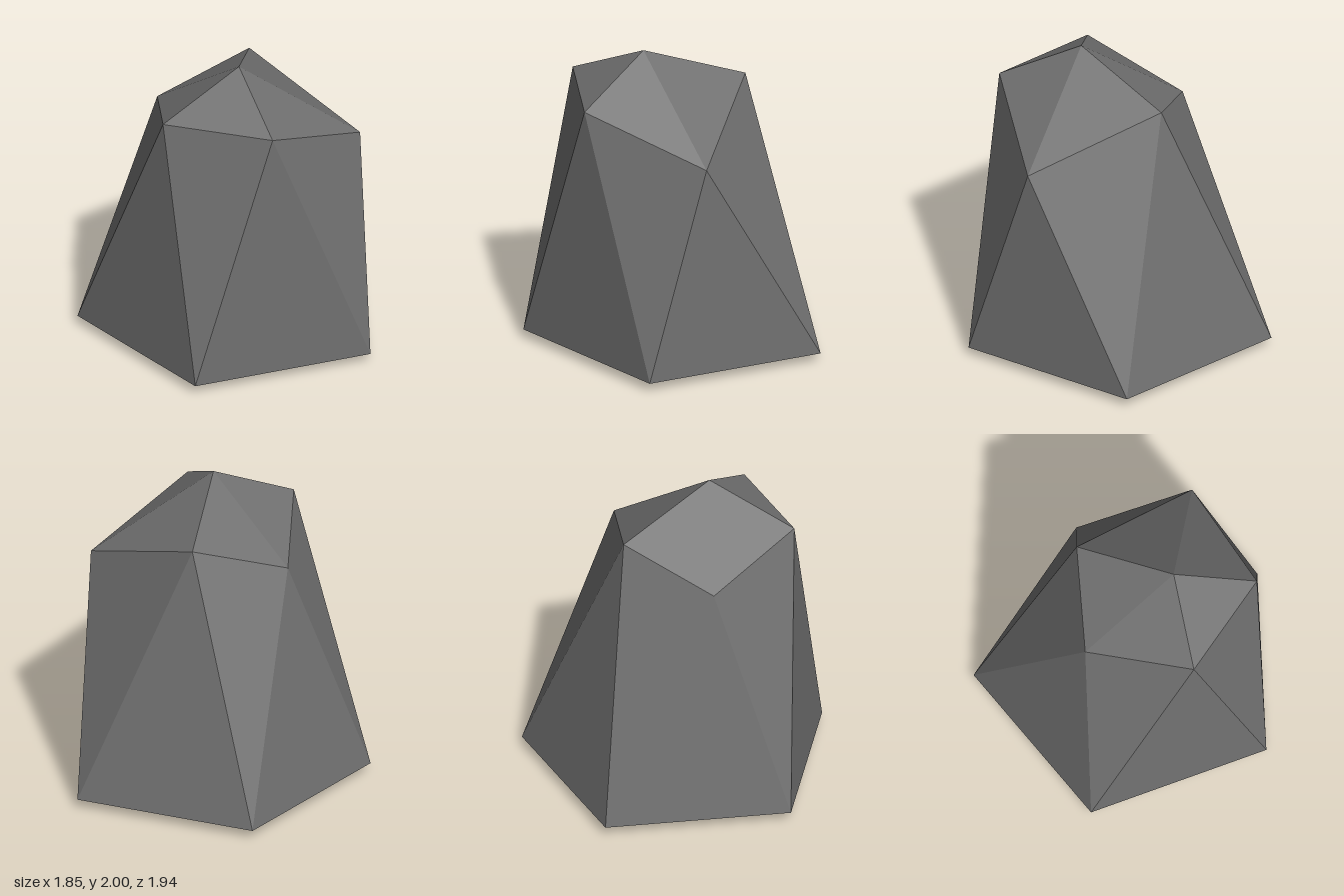
import * as THREE from 'three';

export function createModel() {
  const stone = new THREE.MeshStandardMaterial({ color: 0x707070 });
  stone.name = 'stoneGrey';

  // Five-sided foot ring, and an uneven shoulder ring turned half a step from it
  const foot = [];
  for (let i = 0; i < 5; i++) {
    const a = Math.PI - (i * Math.PI * 2) / 5;
    foot.push([0.1 + 1.02 * Math.cos(a), 0.06, 1.02 * Math.sin(a)]);
  }
  const shoulder = [
    [-0.4, 1.74, 0.54],
    [0.29, 1.73, 0.77],
    [0.88, 1.45, 0.18],
    [0.2, 1.765, -0.4],
    [-0.4, 1.55, -0.18],
  ];
  const peak = [0.1, 2, 0.27];
  const base = [0.1, 0, 0];

  // Each step round adds a cap facet, two side facets and an underside facet
  const corners = [];
  for (let i = 0; i < 5; i++) {
    const j = (i + 1) % 5;
    corners.push(peak, shoulder[i], shoulder[j]);
    corners.push(foot[i], foot[j], shoulder[i]);
    corners.push(shoulder[i], foot[j], shoulder[j]);
    corners.push(base, foot[j], foot[i]);
  }

  // Corners are unshared, so the normals stay flat on every facet
  const geometry = new THREE.BufferGeometry();
  geometry.setAttribute('position', new THREE.Float32BufferAttribute(corners.flat(), 3));
  geometry.computeVertexNormals();

  const rock = new THREE.Mesh(geometry, stone);
  rock.name = 'rock';
  const group = new THREE.Group();
  group.name = 'boulder';
  group.add(rock);
  return group;
}
